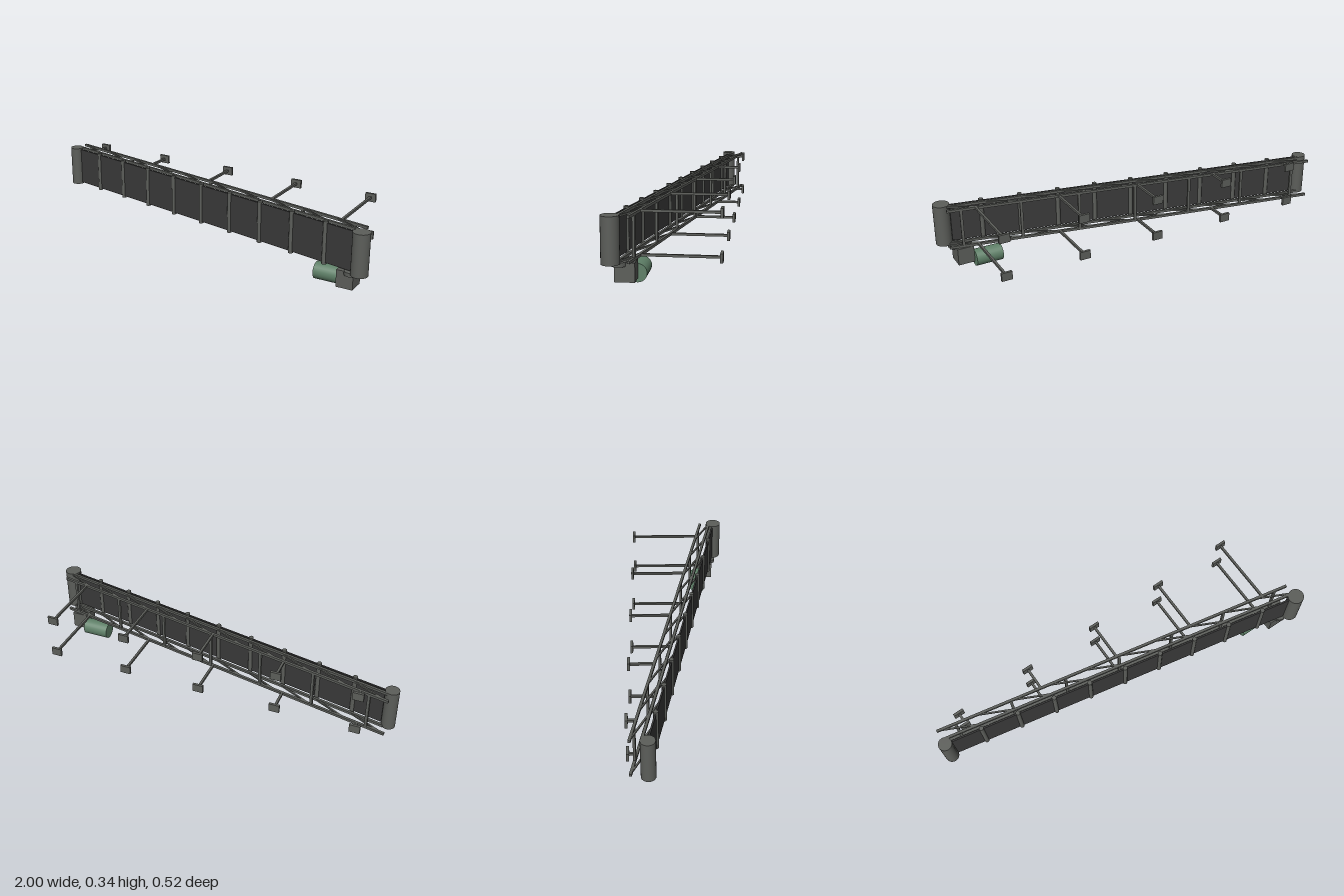
import * as THREE from 'three';

const frameMat = new THREE.MeshStandardMaterial({ color: 0x5c5e5a });
const beltMat = new THREE.MeshStandardMaterial({ color: 0x3a3a3a });
const motorMat = new THREE.MeshStandardMaterial({ color: 0x5f8068 });

const MID = 0.22;               // centre height of the belt
const SIDES = [0.12, 0.32];     // heights of the two side trusses
const SLOPE = 0.193;            // incline of the conveyor
const BACK = -0.047, FRONT = 0.005, BELT = 0.03; // depths within the inclined frame
const PANEL = 0.196;

export function createModel() {
  const model = new THREE.Group();
  const incline = new THREE.Group();
  incline.name = 'inclinedFrame';
  incline.rotation.y = -SLOPE;
  model.add(incline);

  const add = (parent, name, geometry, material, x, y, z) => {
    const mesh = new THREE.Mesh(geometry, material);
    mesh.name = name;
    mesh.position.set(x, y, z);
    parent.add(mesh);
    return mesh;
  };
  const box = (parent, name, w, h, d, x, y, z, mat = frameMat) =>
    add(parent, name, new THREE.BoxGeometry(w, h, d), mat, x, y, z);
  const cylinder = (parent, name, r, h, x, y, z, mat = frameMat, sides = 24) =>
    add(parent, name, new THREE.CylinderGeometry(r, r, h, sides), mat, x, y, z);

  // Belt with its end drums
  box(incline, 'belt', 1.95, 0.2, 0.008, 0.003, MID, BELT, beltMat);
  cylinder(model, 'driveDrum', 0.042, 0.215, 0.957, MID, 0.217);
  cylinder(model, 'tailDrum', 0.035, 0.215, -0.965, MID, -0.155);

  // Idler rollers under the belt
  for (let i = 1; i < 10; i++) {
    cylinder(incline, 'idlerRoller', 0.012, 0.217, -0.98 + i * PANEL, MID, BELT, frameMat, 12);
  }

  // Side trusses: two chords joined by diagonals
  for (const y of SIDES) {
    box(incline, 'backChord', 1.956, 0.013, 0.013, -0.014, y, BACK);
    box(incline, 'frontChord', 1.925, 0.013, 0.013, 0.0, y, FRONT);
    for (let i = 0; i < 10; i++) {
      const depth = FRONT - BACK;
      const diagonal = box(incline, 'trussDiagonal', Math.hypot(PANEL, depth), 0.008, 0.008,
        -0.98 + (i + 0.5) * PANEL, y, (FRONT + BACK) / 2);
      diagonal.rotation.y = -Math.atan2(depth, PANEL);
    }
  }

  // Cross members between the back chords
  for (let i = 0; i < 7; i++) {
    box(incline, 'crossMember', 0.014, 0.19, 0.012, -0.895 + i * 0.2983, MID, BACK);
  }

  // Support legs with foot plates
  for (let i = 0; i < 5; i++) {
    const x = -0.825 + i * 0.41;
    const top = BACK / Math.cos(SLOPE) + x * Math.tan(SLOPE);
    for (const y of SIDES) {
      box(model, 'leg', 0.012, 0.012, top + 0.25, x, y, (top - 0.25) / 2);
      box(model, 'footPlate', 0.055, 0.043, 0.013, x, y, -0.252);
    }
  }

  // Drive unit below the drive drum
  cylinder(model, 'gearboxFlange', 0.037, 0.02, 0.91, 0.104, 0.19);
  box(model, 'gearbox', 0.085, 0.088, 0.091, 0.882, 0.066, 0.162);
  const motor = cylinder(model, 'motor', 0.043, 0.14, 0.77, 0.043, 0.119, motorMat, 28);
  motor.rotation.z = Math.PI / 2;

  return model;
}
